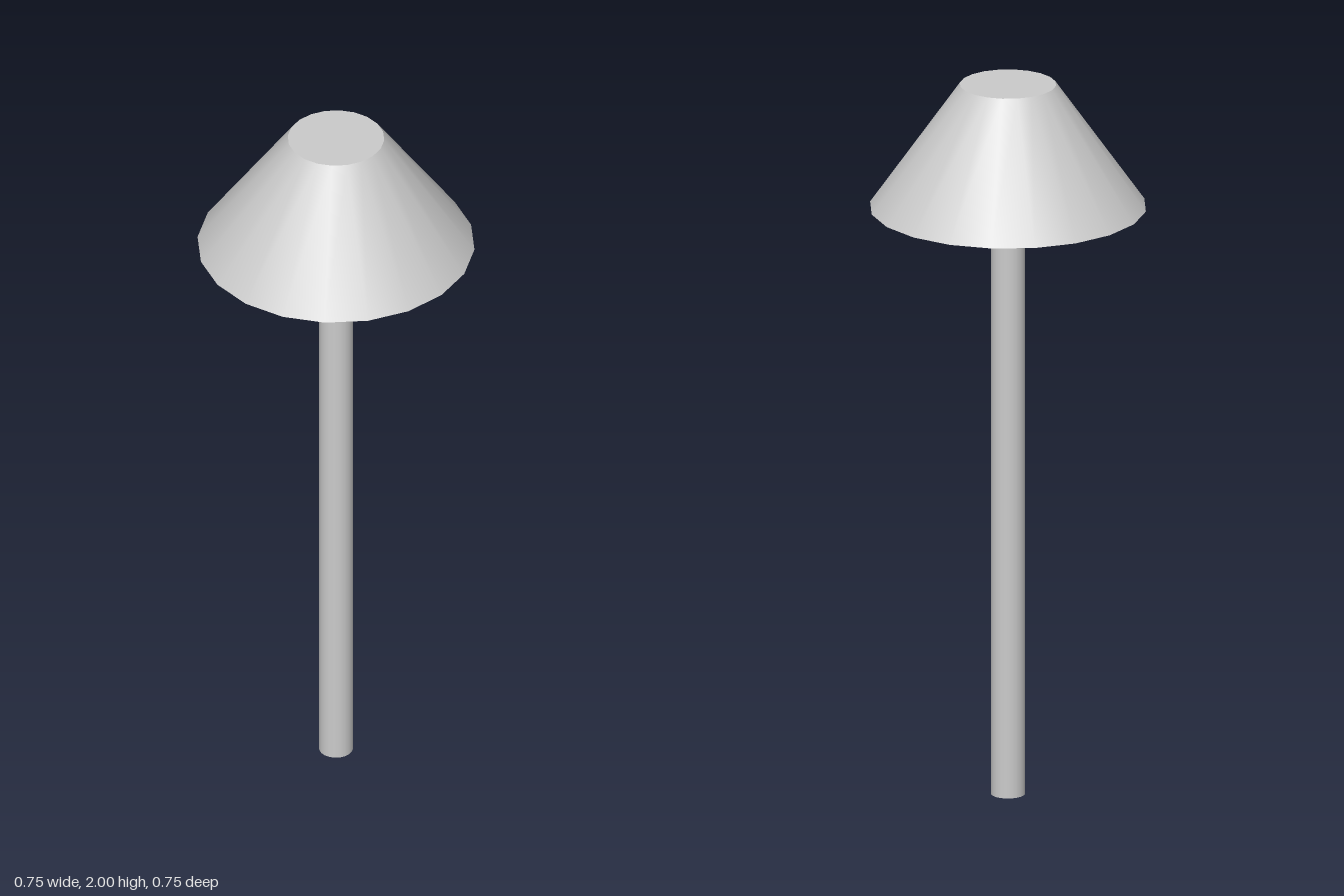
import * as THREE from 'three';

const SIDES = 20;
const SHADE_BOTTOM = 1.655;
const TOP = 2;

export function createModel() {
  const group = new THREE.Group();
  const material = new THREE.MeshStandardMaterial({ color: 0xcccccc });

  // Closed, smooth-sided cylinder or cone frustum standing between two heights
  const addRound = (name, topRadius, bottomRadius, y0, y1) => {
    const geometry = new THREE.CylinderGeometry(topRadius, bottomRadius, y1 - y0, SIDES);
    const mesh = new THREE.Mesh(geometry, material);
    mesh.name = name;
    mesh.position.y = (y0 + y1) / 2;
    group.add(mesh);
  };

  // Slim post
  addRound('post', 0.046, 0.046, 0, SHADE_BOTTOM);

  // Tapered lamp shade with flat top and underside
  addRound('shade', 0.13, 0.373, SHADE_BOTTOM, TOP);

  return group;
}
